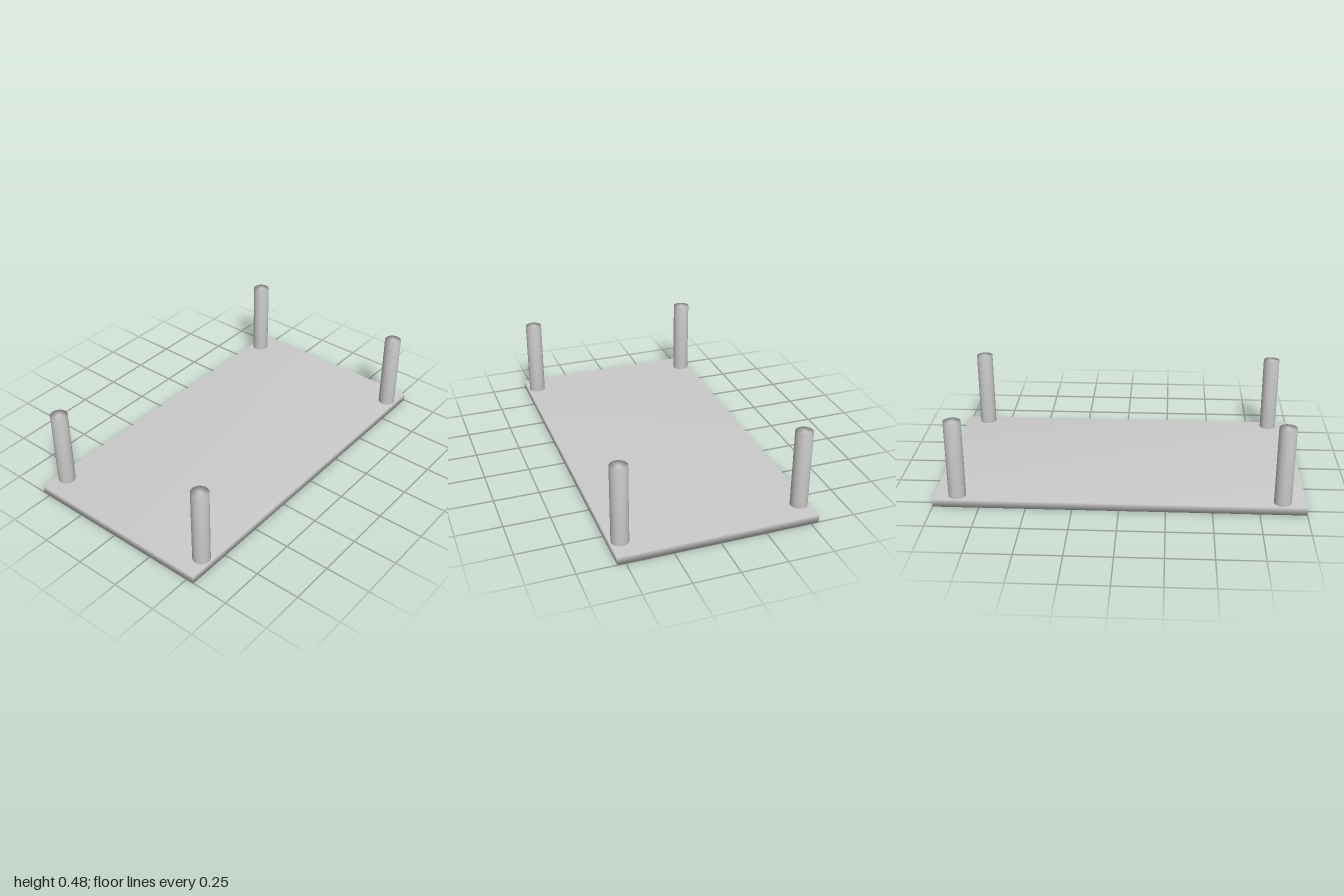
import * as THREE from 'three';
import { mergeVertices } from 'three/addons/utils/BufferGeometryUtils.js';

const material = new THREE.MeshStandardMaterial({ color: 0xcccccc });

// Shared vertices, so shading runs smoothly over every edge
function smooth(geometry) {
  geometry.deleteAttribute('normal');
  geometry.deleteAttribute('uv');
  const merged = mergeVertices(geometry, 1e-4);
  merged.computeVertexNormals();
  return merged;
}

export function createModel() {
  const group = new THREE.Group();
  const thickness = 0.045, top = 0.482;

  // Thin rectangular board lying on the ground
  const board = new THREE.Mesh(smooth(new THREE.BoxGeometry(2, thickness, 1.088)), material);
  board.name = 'board';
  board.position.y = thickness / 2;
  group.add(board);

  // Four round legs standing near the corners
  const height = top - thickness;
  const legGeometry = smooth(new THREE.CylinderGeometry(0.047, 0.047, height, 32));
  for (const [side, x] of [['Left', 0.873], ['Right', -0.873]]) {
    for (const [end, z] of [['front', 0.49], ['back', -0.49]]) {
      const leg = new THREE.Mesh(legGeometry, material);
      leg.name = `${end}${side}Leg`;
      leg.position.set(x, thickness + height / 2, z);
      group.add(leg);
    }
  }
  return group;
}
